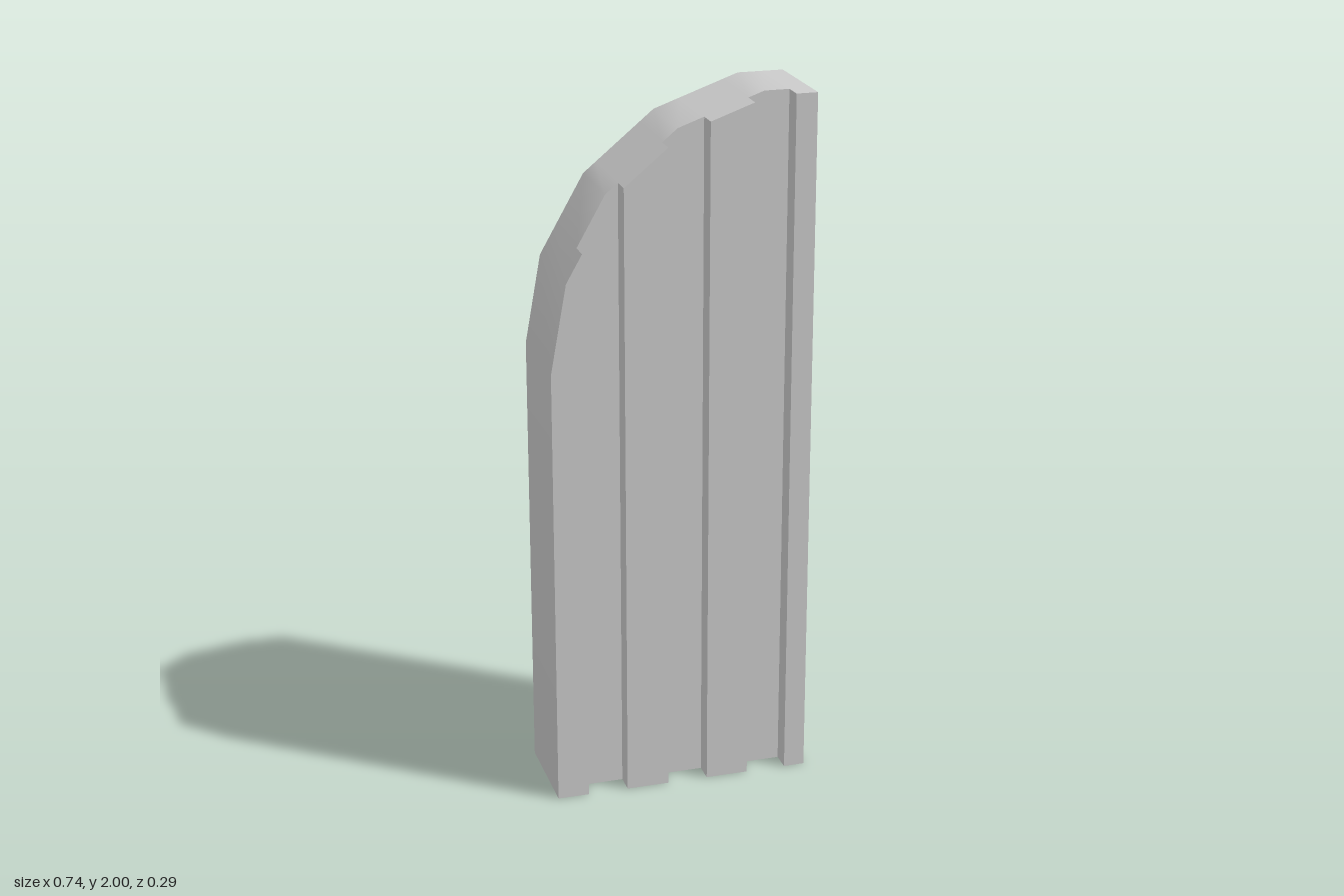
import * as THREE from 'three';
import { toCreasedNormals } from 'three/addons/utils/BufferGeometryUtils.js';

// Half-arch outline of the top edge, as [x, y]
const ARCH = [[-0.37, 1.28], [-0.325, 1.53], [-0.2, 1.75], [0, 1.915], [0.24, 2], [0.37, 2]];
// Vertical grooves cut into the front, as [left, right]
const GROOVES = [[-0.28, -0.165], [-0.043, 0.073], [0.195, 0.31]];
const BACK = -0.144, FRONT = 0.144, GROOVE_FLOOR = 0.086;

function topAt(x) {
  for (let i = 1; i < ARCH.length; i++) {
    const [x0, y0] = ARCH[i - 1], [x1, y1] = ARCH[i];
    if (x <= x1) return y0 + (y1 - y0) * (x - x0) / (x1 - x0);
  }
  return ARCH[ARCH.length - 1][1];
}

const frontAt = (x) => GROOVES.some(([a, b]) => x > a && x < b) ? GROOVE_FLOOR : FRONT;

function panelGeometry() {
  const positions = [];
  // Corners run counter-clockwise seen from outside
  const quad = (a, b, c, d) => positions.push(...a, ...b, ...c, ...a, ...c, ...d);
  // Side wall at x, facing +x when z0 < z1 and -x when z0 > z1
  const wall = (x, z0, z1) => {
    const y = topAt(x);
    quad([x, 0, z1], [x, 0, z0], [x, y, z0], [x, y, z1]);
  };

  // Strips between every bend of the arch and every groove edge
  const xs = [...ARCH.map((p) => p[0]), ...GROOVES.flat()].sort((a, b) => a - b);
  let previousFront = BACK;
  for (let i = 0; i < xs.length - 1; i++) {
    const l = xs[i], r = xs[i + 1], yl = topAt(l), yr = topAt(r);
    const f = frontAt((l + r) / 2);
    quad([l, 0, f], [r, 0, f], [r, yr, f], [l, yl, f]); // front
    quad([r, 0, BACK], [l, 0, BACK], [l, yl, BACK], [r, yr, BACK]); // back
    quad([l, yl, f], [r, yr, f], [r, yr, BACK], [l, yl, BACK]); // top
    quad([l, 0, BACK], [r, 0, BACK], [r, 0, f], [l, 0, f]); // bottom
    if (f !== previousFront) wall(l, f, previousFront); // outer side or groove side
    previousFront = f;
  }
  wall(xs[xs.length - 1], BACK, previousFront);

  const geometry = new THREE.BufferGeometry();
  geometry.setAttribute('position', new THREE.Float32BufferAttribute(positions, 3));
  return toCreasedNormals(geometry, THREE.MathUtils.degToRad(28));
}

export function createModel() {
  const group = new THREE.Group();
  group.name = 'archedPanel';
  const panel = new THREE.Mesh(panelGeometry(), new THREE.MeshStandardMaterial({ color: 0xcccccc }));
  panel.name = 'groovedPanel';
  group.add(panel);
  return group;
}
